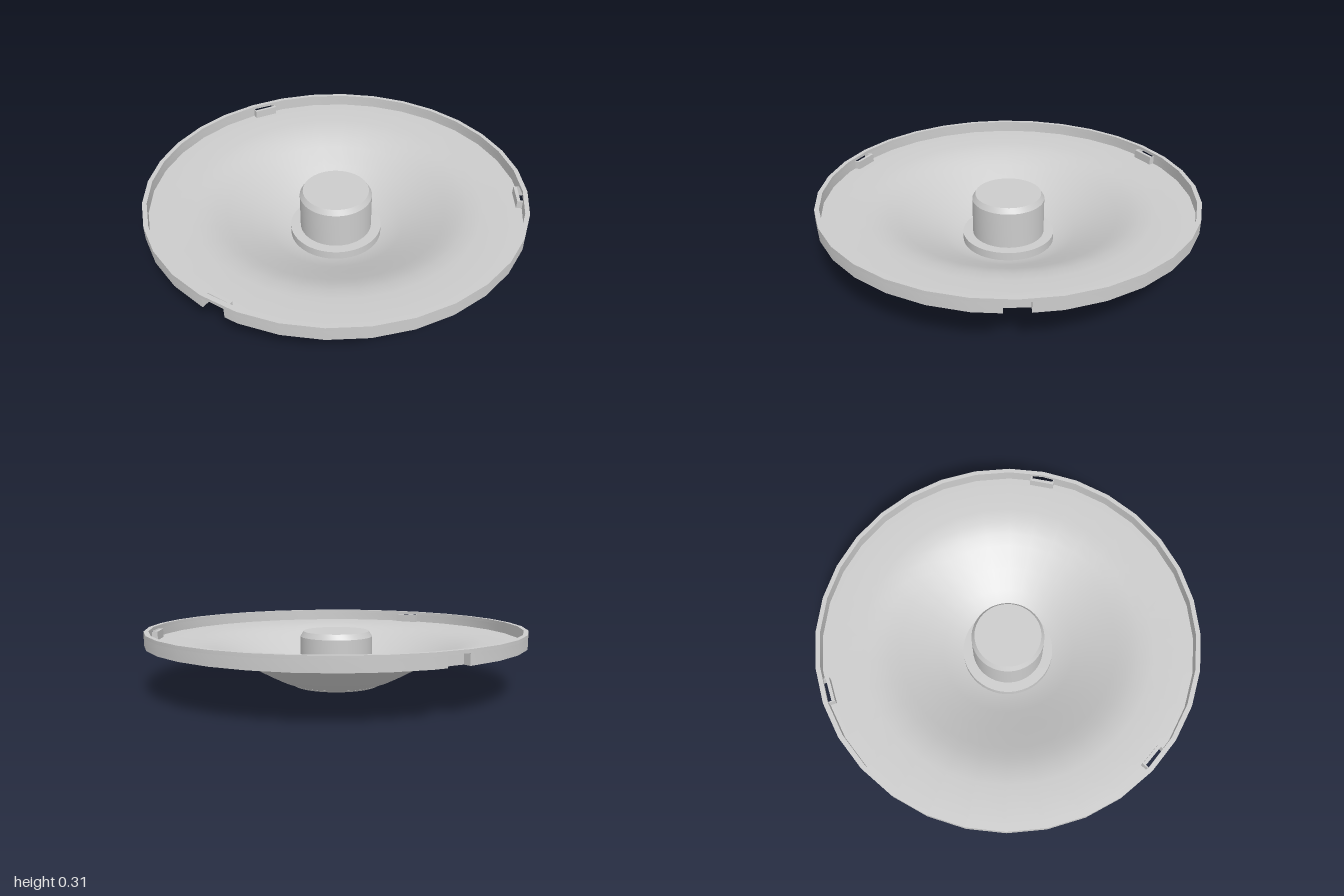
import * as THREE from 'three';
import { toCreasedNormals } from 'three/addons/utils/BufferGeometryUtils.js';

const SIDES = 32;
const STEP = (Math.PI * 2) / SIDES;
const CLIPS = [0, (Math.PI * 2) / 3, (Math.PI * 4) / 3];

// Radius of a regular polygon at a given angle
function polygonRadius(R, angle) {
  const a = ((angle % STEP) + STEP) % STEP;
  return (R * Math.cos(STEP / 2)) / Math.cos(a - STEP / 2);
}

// Polygon outline, stepped in to radius `flat` at each clip when half > 0
function outline(R, flat = 0, half = 0) {
  const points = [];
  const cut = Math.asin(half / R);
  for (let i = 0; i < SIDES; i++) {
    const a = i * STEP;
    const inClip = CLIPS.some((c) => Math.abs(Math.atan2(Math.sin(a - c), Math.cos(a - c))) < cut);
    if (!inClip) points.push([a, R]);
  }
  if (half > 0) {
    for (const c of CLIPS) {
      for (const s of [-1, 1]) {
        const a = c + s * cut;
        points.push([a, polygonRadius(R, a)]);
        points.push([c + s * Math.atan2(half, flat) * 0.99999, Math.hypot(half, flat), s]);
      }
    }
  }
  // Order by angle, keeping each step's corners in sequence
  const key = (p) => {
    const c = CLIPS.find((t) => Math.abs(Math.atan2(Math.sin(p[0] - t), Math.cos(p[0] - t))) < 0.1);
    if (p[2] && c !== undefined) return c + p[2] * cut * 0.5;
    return p[0];
  };
  points.sort((p, q) => key(p) - key(q));
  return points.map(([a, r]) => new THREE.Vector2(r * Math.cos(a), r * Math.sin(a)));
}

// Flat ring between two outlines, standing from y0 to y1
function ring(outer, inner, y0, y1) {
  const shape = new THREE.Shape(outer);
  shape.holes.push(new THREE.Path(inner));
  const g = new THREE.ExtrudeGeometry(shape, { depth: y1 - y0, bevelEnabled: false });
  g.rotateX(-Math.PI / 2);
  g.translate(0, y0, 0);
  return toCreasedNormals(g, 0.5);
}

function lathe(profile, segments) {
  const g = new THREE.LatheGeometry(profile.map(([r, y]) => new THREE.Vector2(r, y)), segments);
  return toCreasedNormals(g, 0.5);
}

export function createModel() {
  const model = new THREE.Group();
  const material = new THREE.MeshStandardMaterial({ color: 0xcccccc });
  const add = (name, geometry) => {
    const mesh = new THREE.Mesh(geometry, material);
    mesh.name = name;
    model.add(mesh);
  };

  // Dished bowl: underside from hub to edge, then back along the top
  const under = [
    [0.22, 0.003], [0.25, 0.012], [0.3, 0.03], [0.36, 0.06], [0.47, 0.12], [0.58, 0.178],
    [0.64, 0.208], [0.7, 0.228], [0.77, 0.24], [0.955, 0.24],
  ];
  const top = under.map(([r, y]) => [r, y + 0.01]).reverse();
  add('bowl', lathe([...under, ...top, under[0]], SIDES));

  // Floor border, notched under the clips
  add('floorEdge', ring(outline(1, 0.957, 0.06), outline(0.955), 0.24, 0.25));

  // Rim wall: recessed outside and stepped inside at the clips, plain above
  add('rimWithClips', ring(outline(1, 0.957, 0.06), outline(0.976, 0.94, 0.066), 0.24, 0.295));
  add('rimTop', ring(outline(1), outline(0.976), 0.295, 0.312));

  // Central hollow post with collar, open at the bottom
  add('hub', lathe([
    [0, 0.27], [0.165, 0.27], [0.175, 0.255], [0.175, 0.05], [0.205, 0.05], [0.215, 0],
    [0.23, 0], [0.245, 0.01], [0.245, 0.065], [0.192, 0.065], [0.192, 0.262],
    [0.175, 0.29], [0, 0.29],
  ], 48));

  return model;
}
